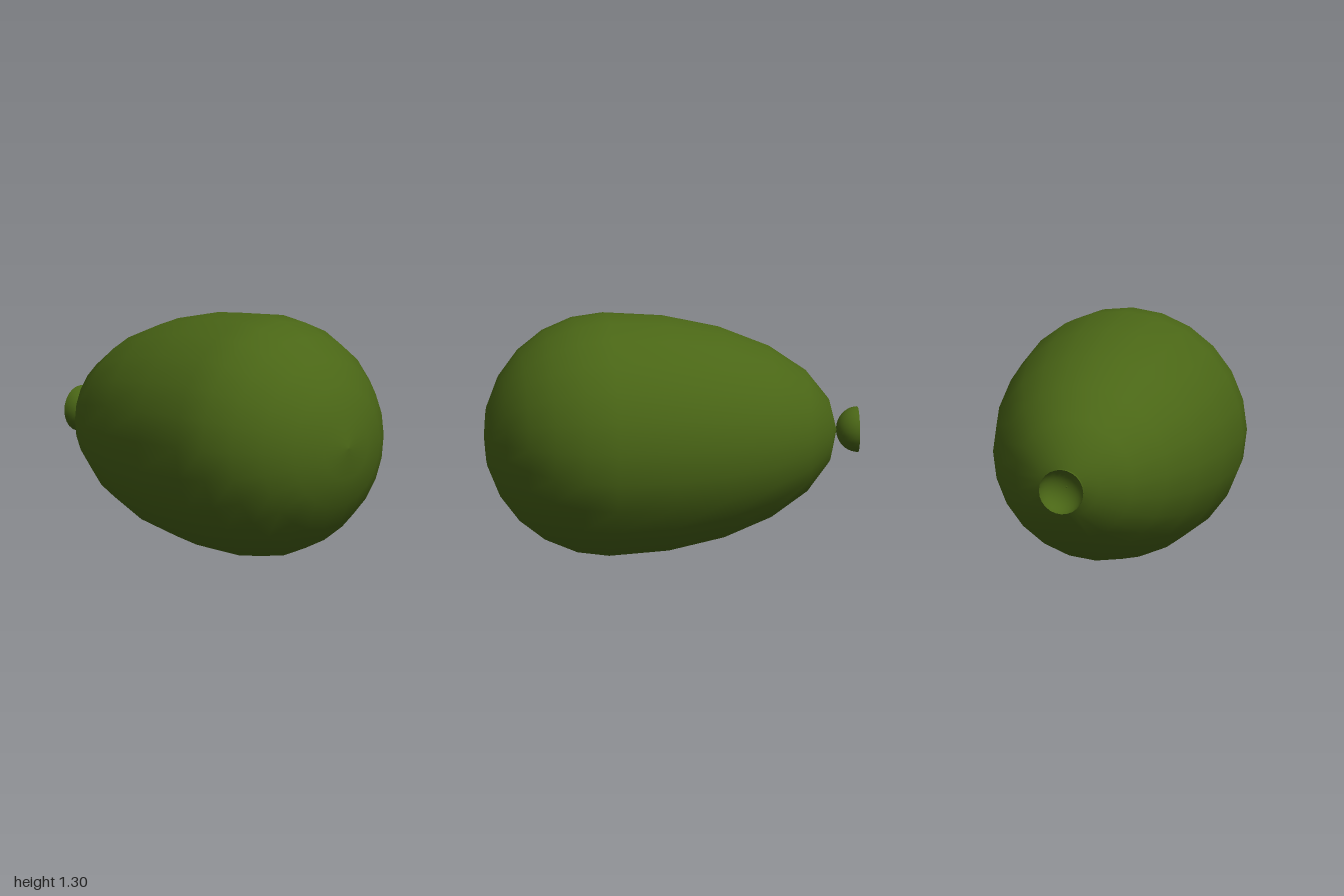
import * as THREE from 'three';

const SIDES = 24;

// Lathed solid whose axis lies along z; profile runs from back to front
function turned(name, points, material, y) {
  const geometry = new THREE.LatheGeometry(points, SIDES).rotateX(Math.PI / 2);
  const mesh = new THREE.Mesh(geometry, material);
  mesh.name = name;
  mesh.position.y = y;
  return mesh;
}

// Elliptical arc of profile points around axial position z0
function arc(from, to, steps, radius, z0, backLength, frontLength) {
  const points = [];
  for (let i = 0; i <= steps; i++) {
    const a = from + (to - from) * i / steps;
    const s = Math.sin(a);
    points.push(new THREE.Vector2(Math.max(0, radius * Math.cos(a)), z0 + s * (s < 0 ? backLength : frontLength)));
  }
  return points;
}

export function createModel() {
  const group = new THREE.Group();
  const skin = new THREE.MeshStandardMaterial({ color: 0x4a6616, side: THREE.DoubleSide });
  const quarter = Math.PI / 2;

  // Egg-shaped fruit: round at the front, stretched towards the stem
  group.add(turned('fruitBody', arc(-quarter, quarter, 12, 0.65, 0.347, 1.234, 0.652), skin, 0.652));

  // Open hollow cup at the narrow end, touching the tip with its dome
  group.add(turned('stemCup', arc(0, quarter, 10, 0.122, -1, 0.115, 0.115), skin, 0.652));

  return group;
}
